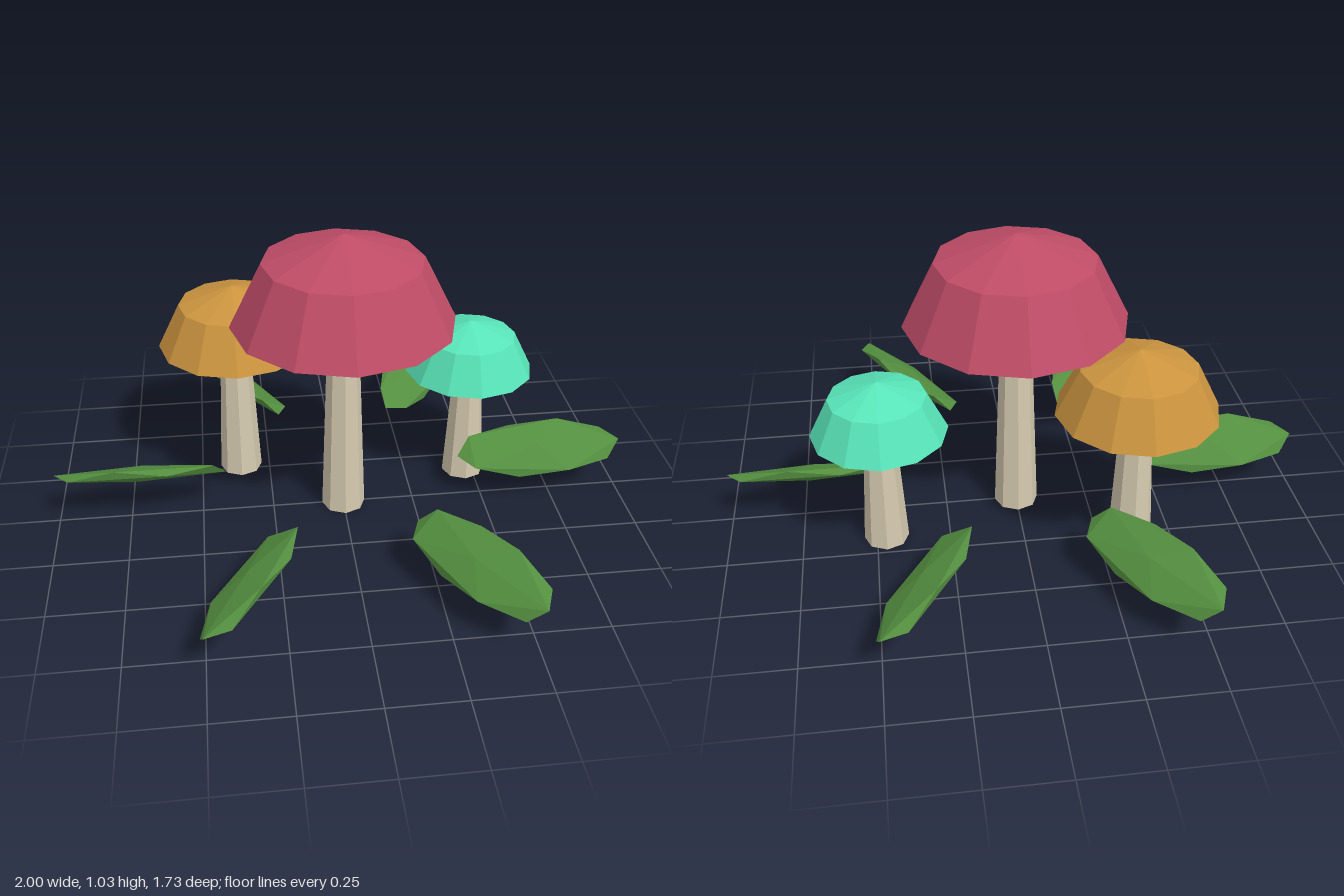
import * as THREE from 'three';
import { ConvexGeometry } from 'three/addons/geometries/ConvexGeometry.js';

const paint = (name, color) => {
  const m = new THREE.MeshStandardMaterial({ color, flatShading: true });
  m.name = name;
  return m;
};

// Tapered eight-sided stem with a twelve-sided cap; all cap sizes scale with its radius
function mushroom(name, x, z, rimY, r, capMaterial, stemMaterial) {
  const group = new THREE.Group();
  group.name = name;
  group.position.set(x, 0, z);

  const stemHeight = rimY - 0.03;
  const stem = new THREE.Mesh(new THREE.CylinderGeometry(0.053, 0.076, stemHeight, 8), stemMaterial);
  stem.name = 'stem';
  stem.position.y = stemHeight / 2;

  const h = r * 0.825;
  const profile = [
    [0, -r * 0.128],
    [r, 0],
    [r * 0.71, h * 0.707],
    [0, h],
  ].map(([px, py]) => new THREE.Vector2(px, py));
  const cap = new THREE.Mesh(new THREE.LatheGeometry(profile, 12), capMaterial);
  cap.name = 'cap';
  cap.position.y = rimY;

  group.add(stem, cap);
  return group;
}

// Leaf: a stretched, rolled icosahedron grown from the three corners of its tip face
function leafGeometry() {
  const a = new THREE.Vector3(0.295, 0.015, 0);
  const b = new THREE.Vector3(0.242, 0.028, -0.066);
  const c = new THREE.Vector3(0.248, -0.04, 0.04);
  const k = 2 / (1 + Math.sqrt(5));
  const ring = (p, q, s) => p.clone().add(q).multiplyScalar(k).sub(s);
  const half = [a, b, c, ring(a, b, c), ring(b, c, a), ring(c, a, b)];
  return new ConvexGeometry([...half, ...half.map((p) => p.clone().negate())]);
}

export function createModel() {
  const model = new THREE.Group();
  model.name = 'mushroomCluster';

  const stem = paint('cream', 0xd5cab0);
  const red = paint('rose red', 0xbf4c67);
  const orange = paint('ochre', 0xcb943f);
  const teal = paint('mint', 0x58e4b8);
  const green = paint('leaf green', 0x548f40);

  model.add(
    mushroom('tallMushroom', 0, 0, 0.724, 0.375, red, stem),
    mushroom('middleMushroom', -0.355, -0.278, 0.524, 0.267, orange, stem),
    mushroom('smallMushroom', 0.468, -0.16, 0.433, 0.225, teal, stem),
  );

  // Six leaves in a circle
  const geometry = leafGeometry();
  for (let i = 0; i < 6; i++) {
    const pivot = new THREE.Group();
    pivot.name = 'leafPivot' + (i + 1);
    pivot.rotation.y = (i * Math.PI) / 3;
    const leaf = new THREE.Mesh(geometry, green);
    leaf.name = 'leaf' + (i + 1);
    leaf.position.set(0.705, 0.175, 0);
    pivot.add(leaf);
    model.add(pivot);
  }
  return model;
}
